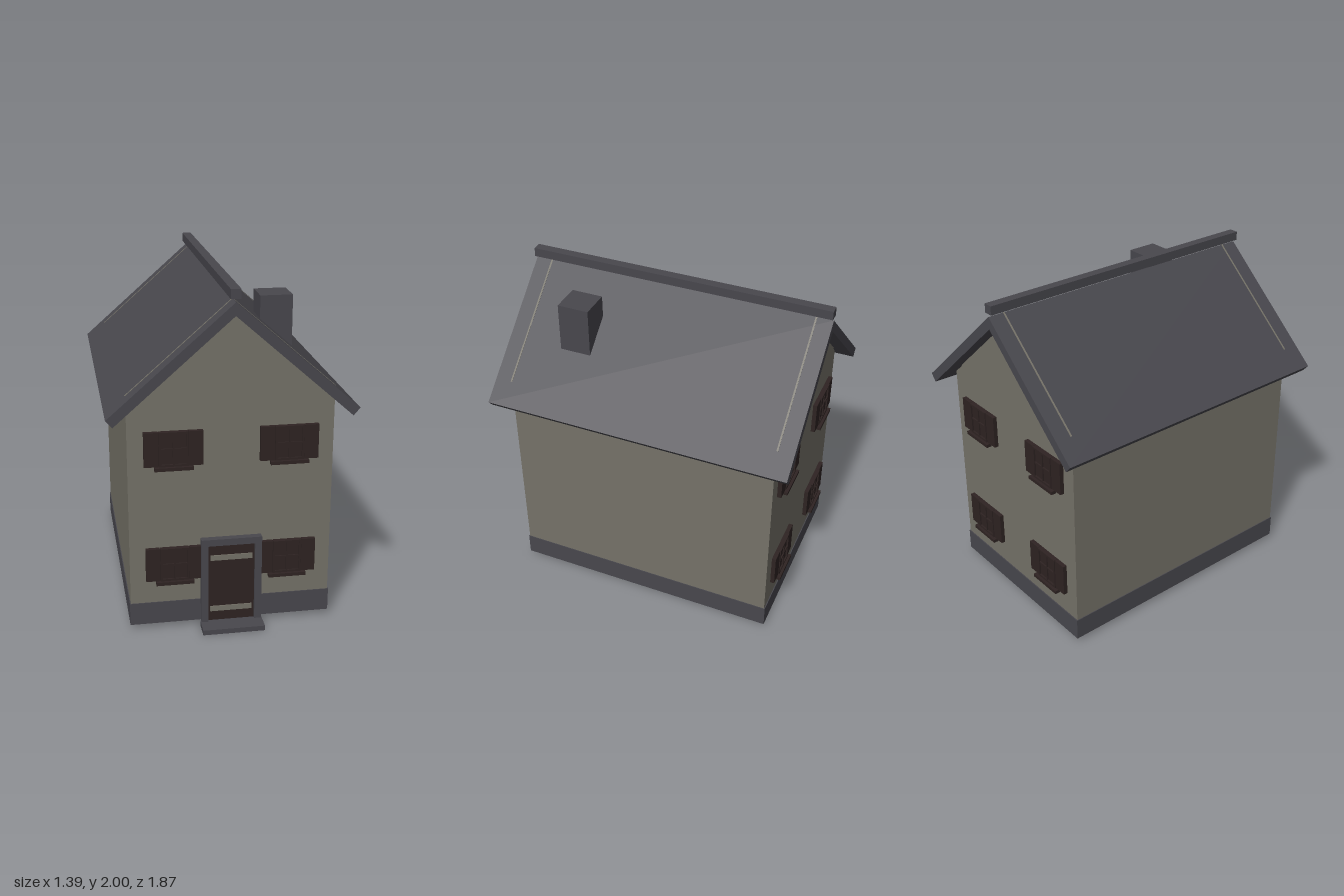
import * as THREE from 'three';

const mat = (name, color) => {
  const m = new THREE.MeshStandardMaterial({ color });
  m.name = name;
  return m;
};

export function createModel() {
  const wall = mat('warm grey plaster', 0x757268);
  const slate = mat('dark slate', 0x48474d);
  const wood = mat('dark brown wood', 0x2e2322);
  const house = new THREE.Group();
  house.name = 'house';

  // Box given by its lower and upper limits on each axis
  const box = (parent, name, material, [x0, x1], [y0, y1], [z0, z1]) => {
    const mesh = new THREE.Mesh(new THREE.BoxGeometry(x1 - x0, y1 - y0, z1 - z0), material);
    mesh.position.set((x0 + x1) / 2, (y0 + y1) / 2, (z0 + z1) / 2);
    mesh.name = name;
    parent.add(mesh);
    return mesh;
  };

  // Flat outline in x and y, extruded from z0 to z1
  const prism = (name, material, points, z0, z1) => {
    const shape = new THREE.Shape(points.map(([x, y]) => new THREE.Vector2(x, y)));
    const geometry = new THREE.ExtrudeGeometry(shape, { depth: z1 - z0, bevelEnabled: false });
    geometry.translate(0, 0, z0);
    const mesh = new THREE.Mesh(geometry, material);
    mesh.name = name;
    house.add(mesh);
  };

  // Body and plinth
  box(house, 'walls', wall, [-0.58, 0.58], [0.029, 1.42], [-0.83, 0.8]);
  box(house, 'plinth', slate, [-0.585, 0.585], [0.03, 0.165], [-0.836, 0.805]);

  // Gables
  const gable = [[-0.584, 1.42], [0.584, 1.42], [0, 1.932]];
  prism('frontGable', wall, gable, 0.795, 0.805);
  prism('backGable', wall, gable, -0.842, -0.832);

  // Roof slopes, ridge beam and chimney
  for (const s of [-1, 1]) {
    const slope = [[0, 1.93], [0, 1.857], [s * 0.66, 1.275], [s * 0.697, 1.318]];
    prism(s > 0 ? 'leftRoof' : 'rightRoof', slate, slope, -0.935, 0.9);
  }
  box(house, 'ridge', slate, [-0.028, 0.028], [1.947, 2], [-0.935, 0.9]);
  box(house, 'chimney', slate, [0.2, 0.385], [1.5, 1.885], [0.375, 0.563]);

  // Window with shutters, cross bars and sill, standing on z = 0
  const makeWindow = () => {
    const w = new THREE.Group();
    w.name = 'window';
    box(w, 'pane', wood, [-0.082, 0.082], [0, 0.2], [0, 0.02]);
    for (const s of [-1, 1]) {
      box(w, 'frameSide', wood, s < 0 ? [-0.082, -0.07] : [0.07, 0.082], [0, 0.2], [0.02, 0.03]);
      box(w, 'shutter', wood, s < 0 ? [-0.165, -0.084] : [0.084, 0.165], [0, 0.2], [0, 0.025]);
    }
    box(w, 'frameTop', wood, [-0.07, 0.07], [0.188, 0.2], [0.02, 0.03]);
    box(w, 'frameBottom', wood, [-0.07, 0.07], [0, 0.012], [0.02, 0.03]);
    box(w, 'mullion', wood, [-0.005, 0.005], [0.012, 0.188], [0.02, 0.028]);
    box(w, 'crossBar', wood, [-0.07, 0.07], [0.095, 0.105], [0.02, 0.028]);
    box(w, 'sill', wood, [-0.109, 0.109], [-0.02, 0], [0.013, 0.046]);
    return w;
  };
  for (const x of [-0.325, 0.325]) {
    for (const y of [0.31, 1.008]) {
      const front = makeWindow();
      front.position.set(x, y, 0.8);
      const back = makeWindow();
      back.position.set(x, y, -0.83);
      back.rotation.y = Math.PI;
      house.add(front, back);
    }
  }

  // Door with frame, pale bands and step
  const door = new THREE.Group();
  door.name = 'door';
  house.add(door);
  box(door, 'doorLeaf', wood, [-0.135, 0.135], [0.03, 0.512], [0.8, 0.822]);
  for (const y of [0.09, 0.415]) {
    box(door, 'doorBand', wall, [-0.122, 0.122], [y, y + 0.032], [0.822, 0.828]);
  }
  box(door, 'rightJamb', slate, [-0.175, -0.135], [0.03, 0.512], [0.8, 0.84]);
  box(door, 'leftJamb', slate, [0.135, 0.175], [0.03, 0.512], [0.8, 0.84]);
  box(door, 'lintel', slate, [-0.175, 0.175], [0.512, 0.552], [0.8, 0.84]);
  box(door, 'step', slate, [-0.18, 0.18], [0, 0.03], [0.822, 0.935]);

  return house;
}
